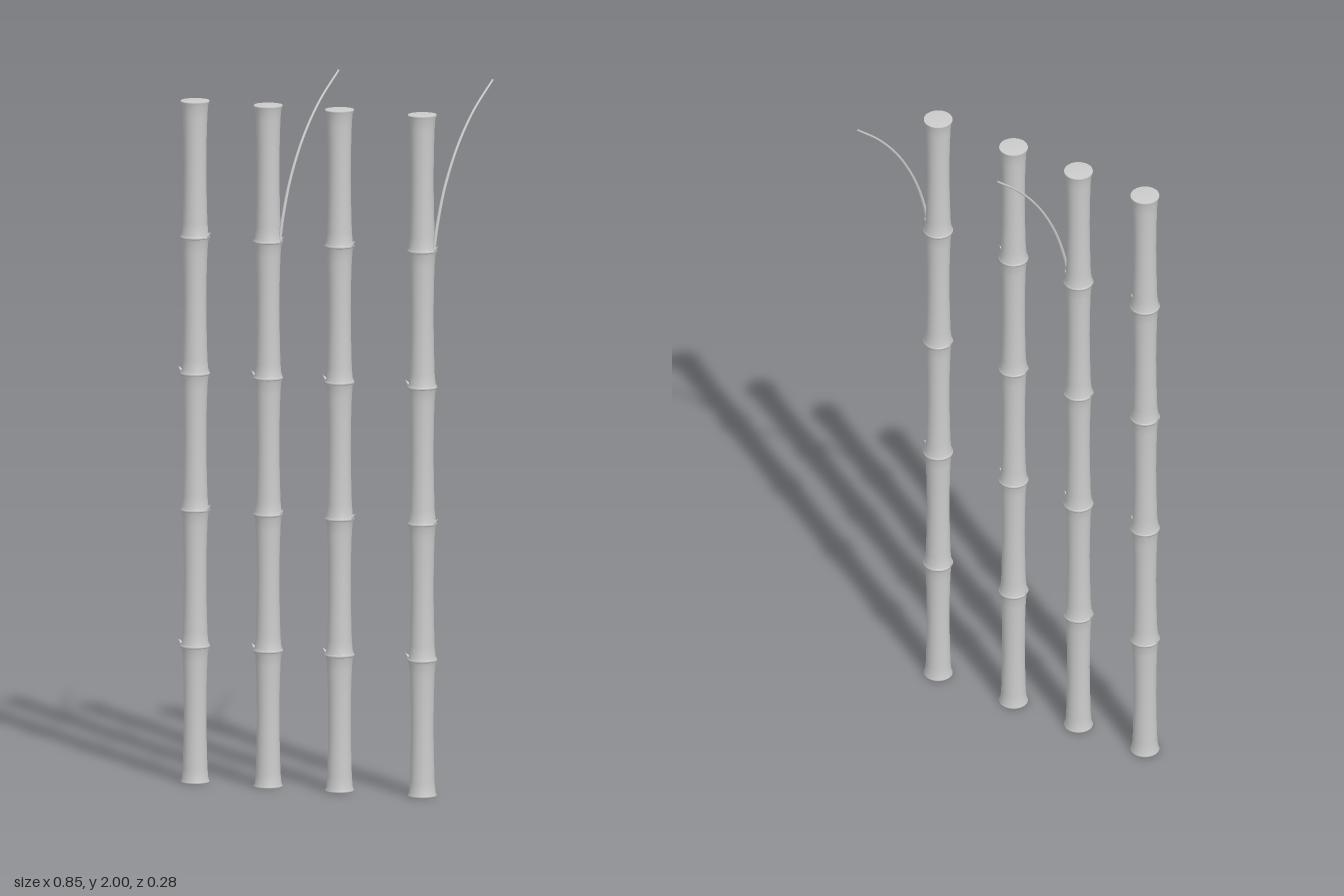
import * as THREE from 'three';

const SEG = 0.386, COUNT = 5, HEIGHT = SEG * COUNT;
const mat = new THREE.MeshStandardMaterial({ color: 0xcccccc });

function add(parent, name, geometry) {
  const mesh = new THREE.Mesh(geometry, mat);
  mesh.name = name;
  parent.add(mesh);
  return mesh;
}

// Hollow-waisted cane section, flaring to a rim at both ends
const sectionProfile = [
  [0, 0], [0.040, 0], [0.0405, 0.004], [0.037, 0.012], [0.0345, 0.04], [0.0325, 0.12],
  [0.0315, 0.2], [0.0325, 0.28], [0.0345, 0.345], [0.037, 0.374], [0.0405, 0.382], [0.040, SEG], [0, SEG],
].map(([r, y]) => new THREE.Vector2(r, y));

// Tapered tube that shrinks towards its tip
function taperedTube(curve, steps, r0, r1, sides) {
  const g = new THREE.TubeGeometry(curve, steps, r0, sides);
  const p = g.attributes.position, v = new THREE.Vector3();
  for (let i = 0; i <= steps; i++) {
    const c = curve.getPointAt(i / steps);
    const k = THREE.MathUtils.lerp(1, r1 / r0, i / steps);
    for (let j = 0; j <= sides; j++) {
      const n = i * (sides + 1) + j;
      v.fromBufferAttribute(p, n).sub(c).multiplyScalar(k).add(c);
      p.setXYZ(n, v.x, v.y, v.z);
    }
  }
  return g;
}

function createStalk(hasBranch) {
  const stalk = new THREE.Group();
  const section = new THREE.LatheGeometry(sectionProfile, 32);
  const ring = new THREE.TorusGeometry(0.0365, 0.0055, 8, 32).rotateX(Math.PI / 2);
  const bud = new THREE.ConeGeometry(0.008, 0.026, 8);

  for (let i = 0; i < COUNT; i++) {
    add(stalk, 'caneSection', section).position.y = i * SEG;
    if (i === 0) continue;
    // Joint ring with a bud, alternating sides up the cane
    add(stalk, 'jointRing', ring).position.y = i * SEG;
    const side = i % 2 ? -1 : 1;
    const b = add(stalk, 'bud', bud);
    b.position.set(side * 0.042, i * SEG + 0.008, side > 0 ? 0.007 : 0);
    b.rotation.z = -side * 0.7;
  }

  // Thin shoot arching up and backwards from the top joint
  if (hasBranch) {
    const path = new THREE.CatmullRomCurve3([
      [0.037, 1.55, 0.006], [0.042, 1.62, -0.008], [0.052, 1.72, -0.04],
      [0.070, 1.83, -0.094], [0.092, 1.92, -0.16], [0.12, 1.998, -0.24],
    ].map((p) => new THREE.Vector3(...p)));
    add(stalk, 'shoot', taperedTube(path, 32, 0.005, 0.003, 8));
  }
  return stalk;
}

export function createModel() {
  const model = new THREE.Group();
  model.name = 'bambooStalks';
  [[-0.378, false], [-0.16, true], [0.053, false], [0.30, true]].forEach(([x, branch]) => {
    const stalk = createStalk(branch);
    stalk.name = 'stalk';
    stalk.position.set(x, 0, 0.10);
    model.add(stalk);
  });
  return model;
}
